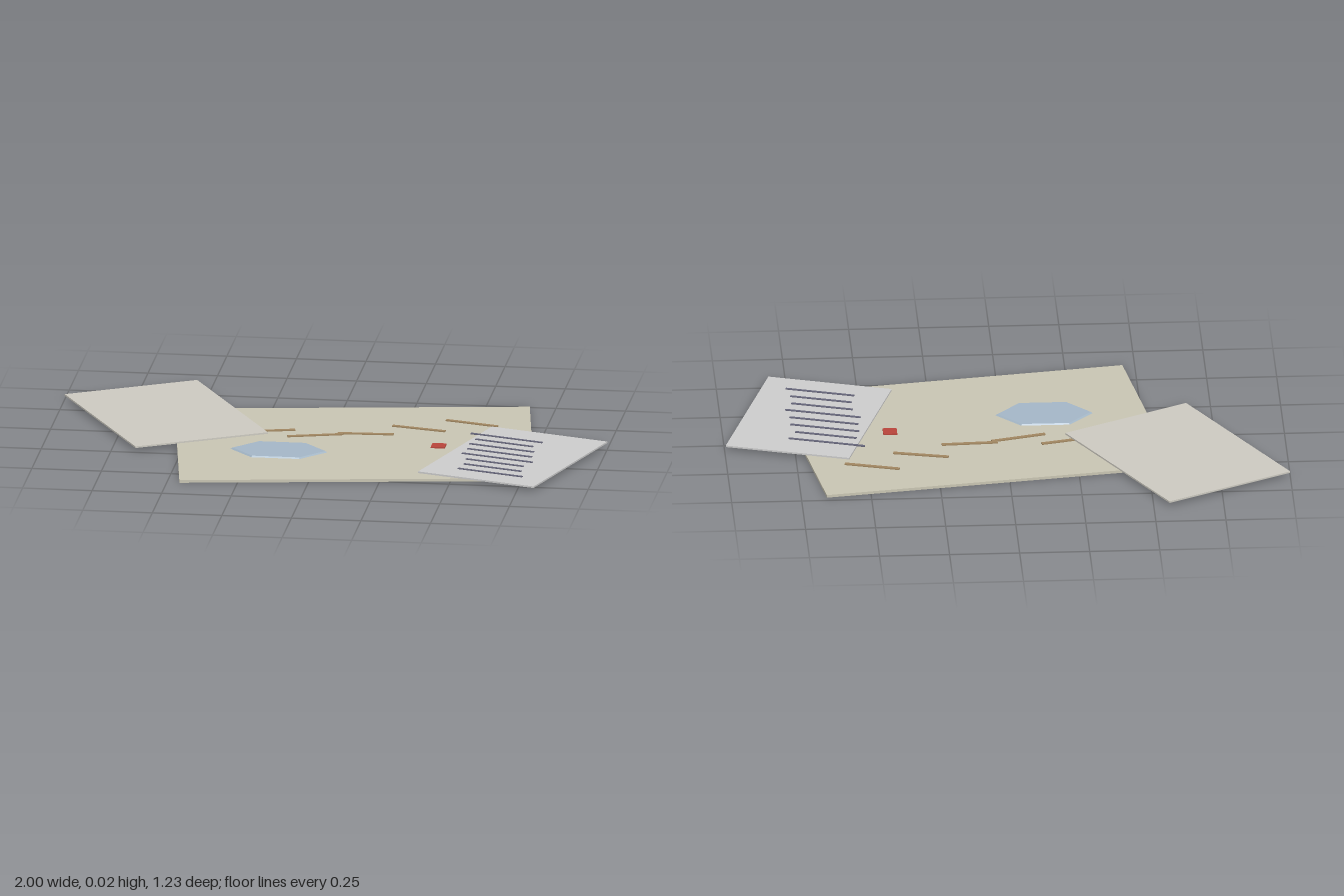
import * as THREE from 'three';

const mat = (color) => new THREE.MeshStandardMaterial({ color, flatShading: true });

// Flat slab lying between heights y0 and y1, turned about the vertical axis
function slab(name, material, x, z, width, depth, y0, y1, turn = 0) {
  const mesh = new THREE.Mesh(new THREE.BoxGeometry(width, y1 - y0, depth), material);
  mesh.name = name;
  mesh.position.set(x, (y0 + y1) / 2, z);
  mesh.rotation.y = turn;
  return mesh;
}

export function createModel() {
  const model = new THREE.Group();
  model.name = 'mapAndPapers';

  // Papers: large map with a loose sheet over each side
  model.add(
    slab('mapSheet', mat(0xc8c4b2), 0.102, 0.067, 1.265, 0.906, 0, 0.01, 0.151),
    slab('blankSheet', mat(0xccc9c0), -0.609, -0.189, 0.505, 0.708, 0.014, 0.02, 0.497),
    slab('noteSheet', mat(0xcccccc), 0.687, 0.19, 0.453, 0.626, 0.014, 0.02, -0.3)
  );

  // Lake: stretched hexagon with slightly sloping banks
  const lake = new THREE.Mesh(new THREE.CylinderGeometry(0.167, 0.175, 0.006, 6), mat(0xa3b6c6));
  lake.geometry.rotateY(Math.PI / 6);
  lake.name = 'lake';
  lake.scale.z = 0.64;
  lake.position.set(-0.153, 0.012, 0.193);
  model.add(lake);

  // Route: dashes crossing the map, ending near a red marker
  const route = new THREE.Group();
  route.name = 'route';
  const routeMat = mat(0xa08660);
  [
    [-0.227, -0.045, 0.25],
    [-0.05, -0.011, 0.27],
    [0.126, -0.053, 0.05],
    [0.305, -0.144, -0.23],
    [0.484, -0.235, -0.28],
  ].forEach(([x, z, turn]) => {
    route.add(slab('routeDash', routeMat, x, z, 0.2, 0.015, 0.009, 0.014, turn));
  });
  model.add(route);
  model.add(slab('redMarker', mat(0xb8443a), 0.404, 0.065, 0.05, 0.05, 0.009, 0.015));

  // Ruled ink lines on the note sheet
  const lines = new THREE.Group();
  lines.name = 'inkLines';
  const inkMat = mat(0x66667a);
  [0.28, 0.225, 0.252, 0.252, 0.277, 0.225, 0.225, 0.252].forEach((length, i) => {
    lines.add(slab('inkLine', inkMat, 0.635, -0.035 + i * 0.063, length, 0.01, 0.019, 0.023, -0.3));
  });
  model.add(lines);

  return model;
}
